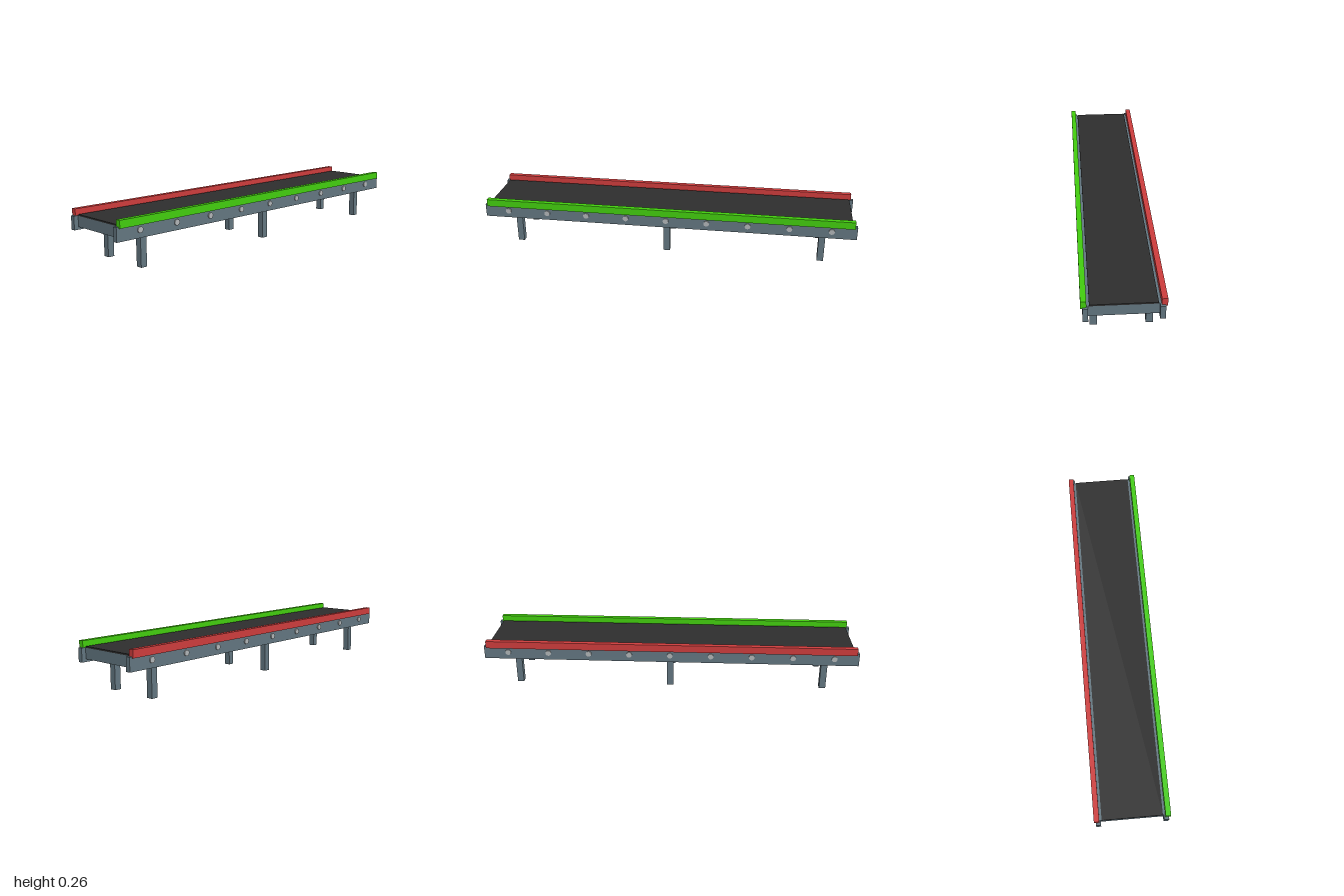
import * as THREE from 'three';

const mat = (name, color) => {
  const m = new THREE.MeshStandardMaterial({ color });
  m.name = name;
  return m;
};

export function createModel() {
  const steel = mat('slate steel', 0x62757f);
  const rubber = mat('black rubber', 0x2d2d2d);
  const green = mat('green paint', 0x42cc0e);
  const red = mat('red paint', 0xcc3c3c);
  const silver = mat('silver', 0xb0b4b6);

  const group = new THREE.Group();
  group.name = 'conveyor';

  const add = (name, geometry, material, x, y, z) => {
    const mesh = new THREE.Mesh(geometry, material);
    mesh.name = name;
    mesh.position.set(x, y, z);
    group.add(mesh);
    return mesh;
  };

  // Box given by its size in x and z and its bottom and top heights
  const box = (name, material, w, d, y0, y1, x = 0, z = 0) =>
    add(name, new THREE.BoxGeometry(w, y1 - y0, d), material, x, (y0 + y1) / 2, z);

  // Bed and belt
  box('bed', steel, 1.954, 0.32, 0.169, 0.2245);
  box('belt', rubber, 1.956, 0.308, 0.2235, 0.231);

  const boltGeometry = new THREE.CylinderGeometry(0.015, 0.015, 0.012, 24);
  boltGeometry.rotateX(Math.PI / 2);

  for (const side of [1, -1]) {
    const label = side > 0 ? 'front' : 'back';

    // Side rail with coloured guard on top
    box(label + 'Rail', steel, 2, 0.025, 0.155, 0.2245, 0, side * 0.1715);
    box(label + 'Guard', side > 0 ? green : red, 1.974, 0.027, 0.218, 0.257, 0, side * 0.1795);

    // Roller axle ends along the rail
    for (let i = -4; i <= 4; i++) {
      add(label + 'AxleEnd', boltGeometry, silver, i * 0.2175, 0.194, side * 0.184);
    }

    // Legs
    for (const x of [-0.826, 0, 0.826]) {
      box(label + 'Leg', steel, 0.034, 0.034, 0, 0.172, x, side * 0.132);
    }
  }
  return group;
}
